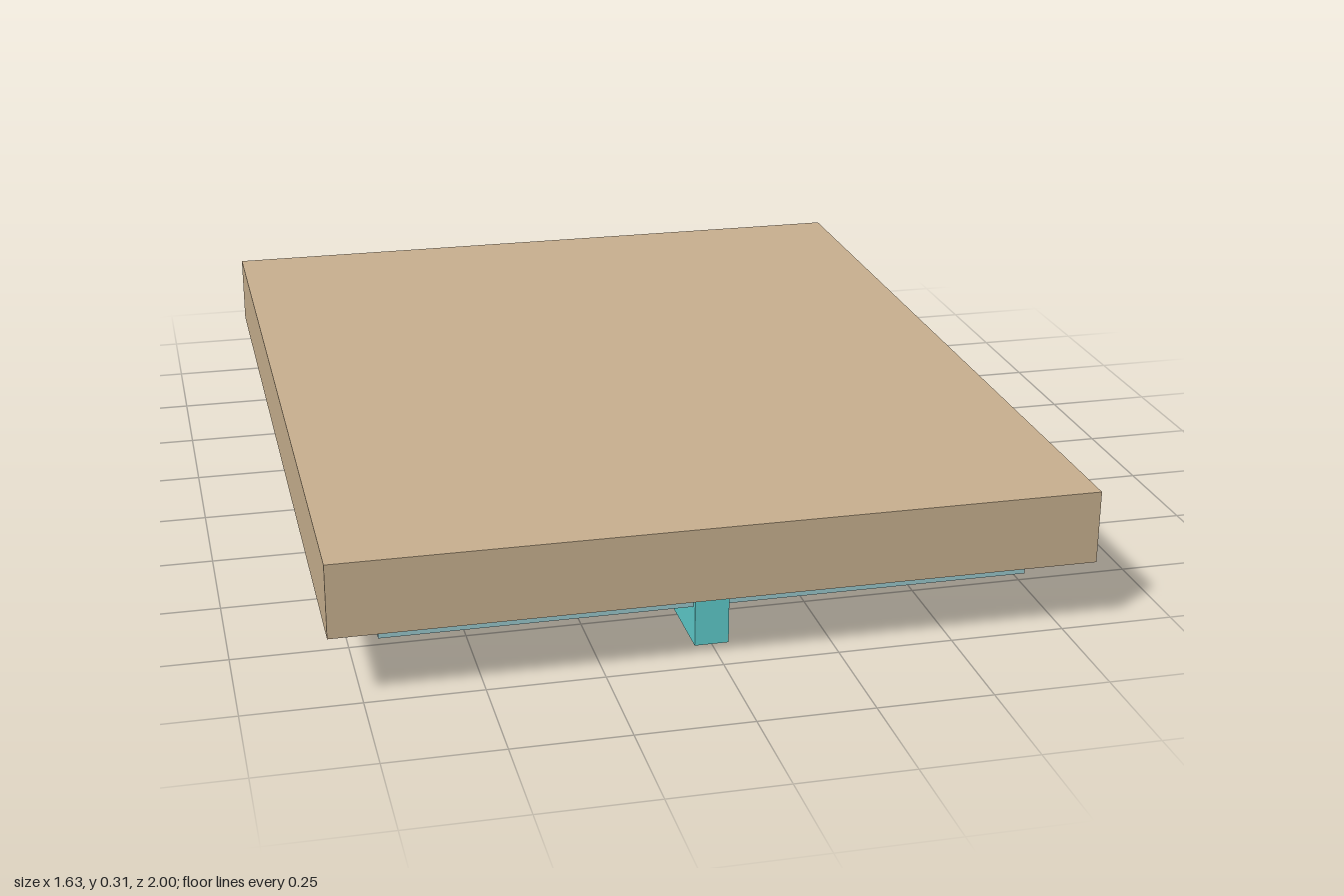
import * as THREE from 'three';

const flat = (name, color) => {
  const m = new THREE.MeshStandardMaterial({ color });
  m.name = name;
  return m;
};

export function createModel() {
  const tan = flat('tan', 0xc8b08f);
  const paleBlue = flat('paleBlue', 0x98c7cb);
  const teal = flat('teal', 0x5ecbcb);
  const group = new THREE.Group();
  group.name = 'platform';

  // Box given by its extents along each axis
  const box = (name, material, [x0, x1], [y0, y1], [z0, z1]) => {
    const mesh = new THREE.Mesh(new THREE.BoxGeometry(x1 - x0, y1 - y0, z1 - z0), material);
    mesh.position.set((x0 + x1) / 2, (y0 + y1) / 2, (z0 + z1) / 2);
    mesh.name = name;
    group.add(mesh);
  };

  // Thick top slab
  box('topSlab', tan, [-0.817, 0.817], [0.15, 0.312], [-1, 1]);

  // Recessed panel beneath the slab
  box('underPanel', paleBlue, [-0.703, 0.703], [0.085, 0.15], [-0.857, 0.89]);

  // Crossed support beams: one full length, one as two arms meeting it
  box('longBeam', teal, [-0.037, 0.037], [0, 0.15], [-0.868, 0.903]);
  box('leftCrossArm', teal, [0.037, 0.718], [0, 0.15], [-0.018, 0.054]);
  box('rightCrossArm', teal, [-0.718, -0.037], [0, 0.15], [-0.018, 0.054]);

  return group;
}
